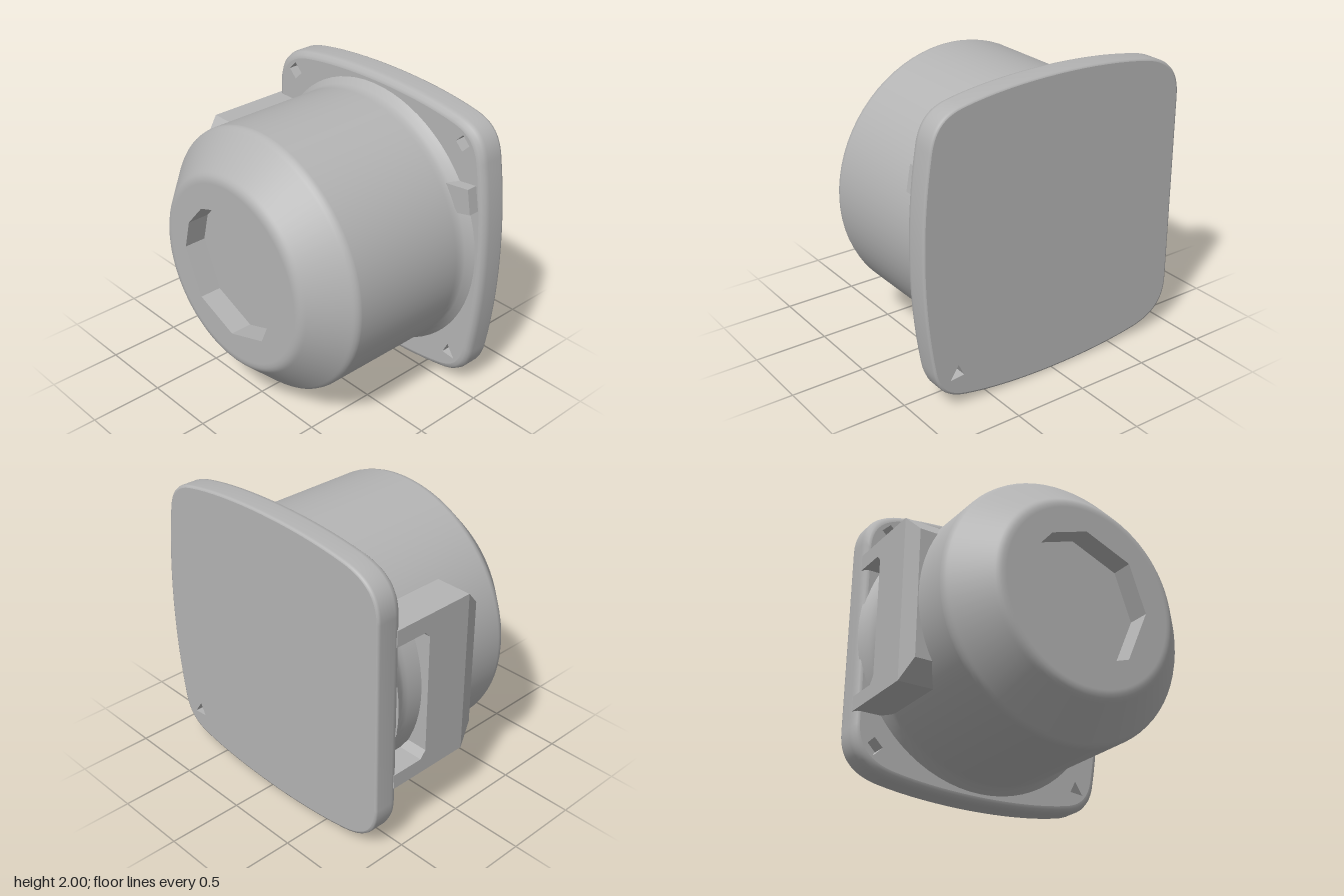
import * as THREE from 'three';

const grey = new THREE.MeshStandardMaterial({ color: 0xb4b4b4 });
grey.name = 'grey plastic';

const AXIS_X = -0.03;
const vecs = (list) => list.map(([x, y]) => new THREE.Vector2(x, y));

function add(group, name, geometry) {
  const mesh = new THREE.Mesh(geometry, grey);
  mesh.name = name;
  group.add(mesh);
  return mesh;
}

// Flat face at a given z, with holes, facing +z or -z
function face(points, holes, z, back = false) {
  const shape = new THREE.Shape(points);
  shape.holes = holes.map((h) => new THREE.Path(h));
  const g = new THREE.ShapeGeometry(shape);
  if (back) {
    const index = g.index.array;
    for (let i = 0; i < index.length; i += 3) [index[i], index[i + 1]] = [index[i + 1], index[i]];
    g.computeVertexNormals();
  }
  return g.translate(0, 0, z);
}

// Inward-facing walls of a pocket; the outline runs counter-clockwise
function pocketWalls(points, zFront, zBack) {
  const pos = [];
  points.forEach((a, i) => {
    const b = points[(i + 1) % points.length];
    pos.push(a.x, a.y, zFront, b.x, b.y, zFront, b.x, b.y, zBack);
    pos.push(a.x, a.y, zFront, b.x, b.y, zBack, a.x, a.y, zBack);
  });
  const g = new THREE.BufferGeometry();
  g.setAttribute('position', new THREE.Float32BufferAttribute(pos, 3));
  g.computeVertexNormals();
  return g;
}

// Plate outline: straight on one side, bowed on the other three
function plateOutline() {
  const s = new THREE.Shape();
  s.moveTo(-0.97, 1.65);
  s.lineTo(-0.97, 0.35);
  s.bezierCurveTo(-0.97, 0.18, -0.88, 0.09, -0.7, 0.055);
  s.bezierCurveTo(-0.3, -0.02, 0.3, -0.02, 0.68, 0.06);
  s.bezierCurveTo(0.8, 0.085, 0.88, 0.14, 0.905, 0.3);
  s.bezierCurveTo(0.985, 0.75, 0.985, 1.25, 0.905, 1.7);
  s.bezierCurveTo(0.88, 1.86, 0.8, 1.915, 0.68, 1.94);
  s.bezierCurveTo(0.3, 2.02, -0.3, 2.02, -0.7, 1.945);
  s.bezierCurveTo(-0.88, 1.91, -0.97, 1.82, -0.97, 1.65);
  return s.getPoints(16).slice(0, -1);
}

const inset = (points, k) => points.map((p) => new THREE.Vector2(p.x * k, 1 + (p.y - 1) * k));

// Rounded rim made of inset copies of the outline
function plateRim(points, steps) {
  const pos = [], index = [], n = points.length;
  steps.forEach(([k, z]) => inset(points, k).forEach((p) => pos.push(p.x, p.y, z)));
  for (let r = 0; r < steps.length - 1; r++) {
    for (let i = 0; i < n; i++) {
      const a = r * n + i, b = r * n + ((i + 1) % n);
      index.push(a, b, b + n, a, b + n, a + n);
    }
  }
  const g = new THREE.BufferGeometry();
  g.setAttribute('position', new THREE.Float32BufferAttribute(pos, 3));
  g.setIndex(index);
  g.computeVertexNormals();
  return g;
}

// Prism drawn in the z-y plane, running from x = -0.97 into the body
function sidePrism(points) {
  const g = new THREE.ExtrudeGeometry(new THREE.Shape(vecs(points)), { depth: 0.35, bevelEnabled: false });
  return g.rotateY(-Math.PI / 2).translate(-0.62, 0, 0);
}

export function createModel() {
  const model = new THREE.Group();
  model.name = 'flangedHousing';

  // Back plate with screw pockets in the corners
  const plate = new THREE.Group();
  plate.name = 'backPlate';
  model.add(plate);
  const outline = plateOutline();
  const diamond = (x, y, r) => vecs([[x + r, y], [x, y + r], [x - r, y], [x, y - r]]);
  const pockets = [diamond(-0.79, 1.78, 0.06), diamond(0.74, 1.79, 0.055), diamond(-0.82, 0.24, 0.06)];
  const through = vecs([[0.69, 0.21], [0.79, 0.2], [0.73, 0.29]]);
  add(plate, 'plateRim', plateRim(outline, [[0.985, -0.7], [0.996, -0.695], [1, -0.68], [1, -0.57], [0.992, -0.54], [0.975, -0.52], [0.955, -0.515]]));
  add(plate, 'plateFront', face(inset(outline, 0.955), [...pockets, through], -0.515));
  add(plate, 'plateBack', face(inset(outline, 0.985), [through], -0.7, true));
  add(plate, 'screwHole', pocketWalls(through, -0.515, -0.7));
  for (const p of pockets) {
    add(plate, 'screwPocketWalls', pocketWalls(p, -0.515, -0.62));
    add(plate, 'screwPocketFloor', face(p, [], -0.62));
  }

  // Round body: flared collar, straight drum, bevelled nose
  const profile = vecs([
    [0.945, -0.53], [0.925, -0.5], [0.9, -0.46], [0.891, -0.43], [0.89, -0.4], [0.89, -0.39],
    [0.89, 0.42], [0.89, 0.43], [0.885, 0.45], [0.872, 0.467], [0.862, 0.477],
    [0.675, 0.668], [0.665, 0.678], [0.65, 0.69], [0.63, 0.698], [0.61, 0.7], [0.6, 0.7],
  ]);
  const body = add(model, 'drumBody', new THREE.LatheGeometry(profile, 72).rotateX(Math.PI / 2));
  body.position.set(AXIS_X, 1, 0);

  // Front face with a faceted recess
  const disc = new THREE.Path().absarc(AXIS_X, 1, 0.6, 0, Math.PI * 2).getPoints(72).slice(0, -1);
  const recess = vecs([
    [-0.04, 1.45], [-0.3, 1.36], [-0.44, 1.2], [-0.49, 1.0], [-0.35, 0.68],
    [-0.04, 0.55], [0.26, 0.65], [0.41, 1.0], [0.29, 1.32],
  ]);
  add(model, 'frontFace', face(disc, [recess], 0.7));
  add(model, 'recessWalls', pocketWalls(recess, 0.7, 0.55));
  add(model, 'recessFloor', face(recess, [], 0.55));

  // Side box with an opening beside the plate
  const box = new THREE.Group();
  box.name = 'sideBox';
  model.add(box);
  add(box, 'sideFrame', sidePrism([
    [-0.55, 0.45], [0.05, 0.45], [0.05, 1.56], [-0.55, 1.56],
    [-0.55, 1.45], [-0.32, 1.45], [-0.28, 1.41], [-0.28, 0.6], [-0.32, 0.55], [-0.55, 0.55],
  ]));
  const nose = sidePrism([[0.05, 0.45], [0.17, 0.57], [0.17, 1.44], [0.05, 1.56]]);
  const p = nose.attributes.position;
  for (let i = 0; i < p.count; i++) {
    if (p.getZ(i) > 0.1 && p.getX(i) < -0.9) p.setX(i, -0.925);
  }
  nose.computeVertexNormals();
  add(box, 'sideNose', nose);

  // Small gusset between drum and plate
  const gusset = new THREE.Shape(vecs([[0.64, 1.52], [0.8, 1.36], [0.9, 1.385], [0.87, 1.55]]));
  add(model, 'gusset', new THREE.ExtrudeGeometry(gusset, { depth: 0.09, bevelEnabled: false }).translate(0, 0, -0.53));

  return model;
}
